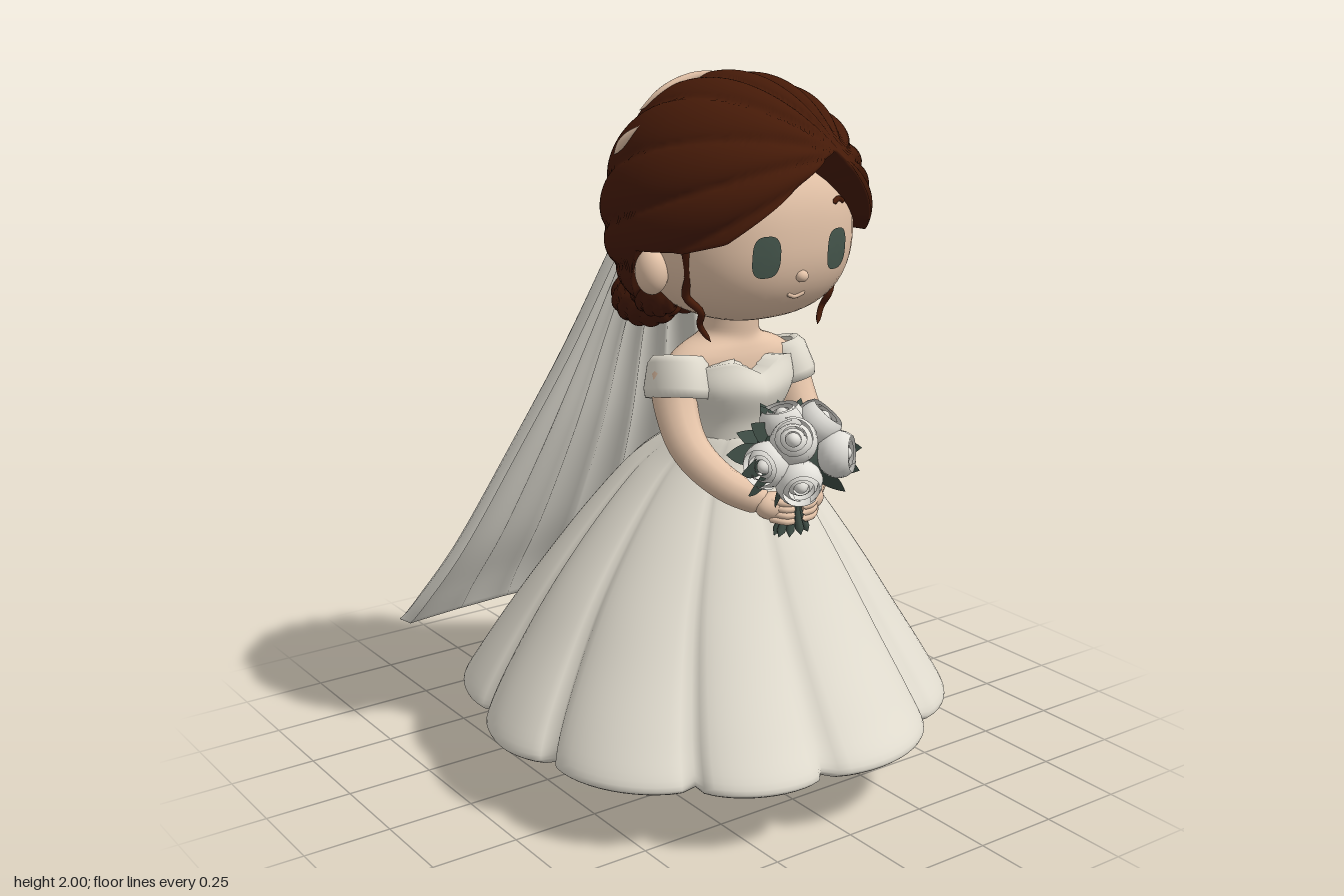
import * as THREE from 'three';

const mat = (name, color, side = THREE.FrontSide) => {
  const m = new THREE.MeshStandardMaterial({ color, side });
  m.name = name;
  return m;
};

// Catmull-Rom sampling of a list of equal-length rows, t in 0..1
function sample(rows, t) {
  const n = rows.length - 1, f = Math.min(t * n, n - 1e-6), i = Math.floor(f), s = f - i;
  const at = k => rows[Math.max(0, Math.min(n, k))];
  const [a, b, c, d] = [at(i - 1), at(i), at(i + 1), at(i + 2)];
  return b.map((q, k) => q + 0.5 * s * (c[k] - a[k] + s * (2 * a[k] - 5 * q + 4 * c[k] - d[k] + s * (3 * (q - c[k]) + d[k] - a[k]))));
}

// Surface from closed loops: nu points round, nv steps down
function rings(nu, nv, fn) {
  const pos = [], idx = [];
  for (let j = 0; j <= nv; j++) for (let i = 0; i < nu; i++) pos.push(...fn(i, j / nv, j));
  for (let j = 0; j < nv; j++) for (let i = 0; i < nu; i++) {
    const k = (i + 1) % nu, a = j * nu + i, b = j * nu + k, c = a + nu, d = b + nu;
    idx.push(a, c, b, b, c, d);
  }
  const g = new THREE.BufferGeometry();
  g.setAttribute('position', new THREE.Float32BufferAttribute(pos, 3));
  g.setIndex(idx);
  g.computeVertexNormals();
  return g;
}

// Elliptical loft, rows [y, rx, rz, cz], closed at both ends
function loft(rows, x0 = 0, yOff = () => 0) {
  return rings(40, 26, (i, v, j) => {
    const a = i / 40 * Math.PI * 2, t = Math.max(0, Math.min(1, (j - 1) / 24));
    const [y, rx, rz, cz] = sample(rows, t), f = j === 0 || j === 26 ? 0.02 : 1;
    return [x0 + rx * Math.sin(a) * f, y + yOff(a, t), cz + rz * Math.cos(a) * f];
  });
}

// Tube whose radius follows a rule
function taper(points, radius, seg = 24) {
  const curve = new THREE.CatmullRomCurve3(points.map(p => new THREE.Vector3(...p)));
  const g = new THREE.TubeGeometry(curve, seg, 1, 10), p = g.attributes.position, q = new THREE.Vector3();
  for (let i = 0; i < p.count; i++) {
    const t = Math.floor(i / 11) / seg, c = curve.getPointAt(t);
    q.fromBufferAttribute(p, i).sub(c).multiplyScalar(radius(t)).add(c);
    p.setXYZ(i, q.x, q.y, q.z);
  }
  return g;
}
const round = (r0, r1) => t => (r0 + (r1 - r0) * t) * Math.min(1, Math.sqrt(Math.max(0.001, Math.min(t, 1 - t) * 14)));

// Ball with spiral strands
function strandBall(n, twist) {
  const g = new THREE.SphereGeometry(1, 64, 32), p = g.attributes.position;
  for (let i = 0; i < p.count; i++) {
    const x = p.getX(i), y = p.getY(i), z = p.getZ(i);
    const f = 1 - 0.13 * (1 - Math.abs(Math.sin((Math.atan2(y, x) + z * twist) * n / 2)) ** 0.6) * Math.hypot(x, y);
    p.setXYZ(i, x * f, y * f, z * f);
  }
  g.computeVertexNormals();
  return g;
}

export function createModel() {
  const root = new THREE.Group();
  const skin = mat('skin', 0xe4c3a8), hair = mat('hair brown', 0x451a08), dress = mat('ivory dress', 0xe2ddd0);
  const veilMat = mat('veil', 0xdad7cd), roseMat = mat('rose white', 0xe2e0da, THREE.DoubleSide);
  const leafMat = mat('leaf green', 0x3e4d45, THREE.DoubleSide), eyeMat = mat('eye green', 0x46574d);
  const add = (name, geo, m, pos = [0, 0, 0], scale = [1, 1, 1], parent = root) => {
    const o = new THREE.Mesh(geo, m);
    o.name = name; o.position.set(...pos); o.scale.set(...scale);
    parent.add(o);
    return o;
  };
  const ball = new THREE.SphereGeometry(1, 28, 20);
  const sides = [['left', 1], ['right', -1]];

  // Skirt: ten rounded panels between notches
  const notch = [-7, 34, 73, 108, 142, 177, 216, 252, 283, 321, 353];
  const skirtRows = [[1.03, .115, .32, .09], [1.01, .14, .33, .03], [.95, .19, .345, -.07], [.88, .25, .38, -.15], [.75, .355, .45, -.25],
    [.6, .465, .53, -.35], [.45, .56, .62, -.45], [.3, .65, .72, -.54], [.205, .695, .785, -.59], [.178, .68, .77, -.58]];
  const skirtPoint = (k, v, inset = 1) => {
    const i = Math.floor(k / 14), s = (k % 14) / 14;
    const a = THREE.MathUtils.degToRad(notch[i] + (notch[i + 1] - notch[i]) * s);
    const [y, rx, zf, zb] = sample(skirtRows, v);
    const f = inset * (1 - (0.02 + 0.09 * v) * (1 - Math.sin(Math.PI * s) ** 0.45));
    const sn = Math.sin(a), c = Math.cos(a);
    const wide = c < 0 ? Math.sign(sn) * Math.abs(sn) ** (1 - 0.3 * v) : sn;
    return [rx * wide * f, y + 0.07 * Math.max(0, -c) * v ** 3 * inset + 0.07 * (1 - inset * inset), (zf + zb) / 2 + (zf - zb) / 2 * c * f];
  };
  add('skirt', rings(140, 44, (k, v) => skirtPoint(k, v)), dress);
  add('skirt underside', rings(140, 12, (k, v) => skirtPoint(k, 1, 1 - 0.999 * v)), skin);

  // Veil: pleated sheet, rows [y, half width, middle z, forward sweep of the sides]
  const veilRows = [[1.615, .06, -.15, .02], [1.59, .1, -.185, .04], [1.48, .165, -.22, .07], [1.2, .285, -.325, .11], [.9, .42, -.425, .12],
    [.6, .55, -.555, .15], [.4, .63, -.67, .16], [.29, .66, -.725, .14]];
  const N = 84;
  add('veil', rings(N * 2, 44, (i, v, j) => {
    const inner = i < N, u = inner ? i / (N - 1) * 2 - 1 : 1 - (i - N) / (N - 1) * 2;
    const [y, w, zc, d] = sample(veilRows, v);
    const fold = Math.abs(Math.cos(u * Math.PI * 3.5 + 0.5 * Math.sin(u * Math.PI))) ** 0.6;
    const thick = j === 0 || j === 44 ? 0.006 : 0.03 + 0.03 * v;
    return [w * u, y - 0.03 * v ** 6 * fold + 0.05 * u * u * v ** 4, zc + d * u * u - (0.01 + 0.045 * v) * fold + (inner ? thick : 0)];
  }), veilMat);

  // Upper body
  add('neck and chest', loft([[1.4, .075, .08, .2], [1.33, .076, .08, .195], [1.29, .09, .083, .19], [1.262, .155, .092, .19], [1.23, .195, .1, .19], [1.17, .2, .1, .195], [1.1, .13, .1, .2]]), skin);
  const neckline = (a, t) => (1 - t) ** 3 * (0.045 * Math.max(0, Math.cos(a)) * Math.min(1, Math.abs(a > Math.PI ? a - 2 * Math.PI : a) * 2) - 0.01);
  add('bodice', loft([[1.21, .175, .125, .21], [1.15, .168, .14, .22], [1.06, .132, .125, .205], [.97, .125, .12, .2]], 0, neckline), dress);
  const band = [[.055, .055], [.073, .06], [.088, .04], [.096, -.03], [.09, -.055], [.078, -.05], [.055, .055]].map(p => new THREE.Vector2(...p)).reverse();
  for (const [side, s] of sides) {
    add(side + ' sleeve', new THREE.LatheGeometry(band, 32), dress, [s * .175, 1.182, .19], [.86, 1, 1.15]).rotation.set(-.22, 0, s * .2);
    add(side + ' arm', taper([[s * .185, 1.24, .18], [s * .2, 1.12, .215], [s * .2, 1.01, .285], [s * .15, .925, .385], [s * .06, .875, .46]], round(.066, .04)), skin);
    add(side + ' hand', ball, skin, [s * .06, .872, .465], [.05, .038, .038]);
    for (let k = 0; k < 4; k++) {
      const y = .895 - k * .017;
      add(side + ' finger', taper([[s * .08, y, .475], [s * .045, y - .01, .505], [s * .012, y - .014, .505]], round(.012, .009), 10), skin);
    }
    add(side + ' leg', loft([[.29, .042, .05, .18], [.11, .04, .046, .178], [.07, .045, .062, .193], [.03, .047, .076, .207], [0, .045, .077, .208]], s * .064), skin);
  }

  // Head: softly squared ellipsoid
  const R = [.285, .25, .265], H = [0, 1.595, .247], P = 2.45;
  const headGeo = new THREE.SphereGeometry(1, 48, 36), hp = headGeo.attributes.position;
  for (let i = 0; i < hp.count; i++) {
    const d = [hp.getX(i), hp.getY(i), hp.getZ(i)];
    const f = d.reduce((s, q, k) => s + Math.abs(q / R[k]) ** P, 0) ** (-1 / P);
    hp.setXYZ(i, d[0] * f, d[1] * f, d[2] * f);
  }
  headGeo.computeVertexNormals();
  add('head', headGeo, skin, H);
  const faceZ = (x, y) => H[2] + R[2] * Math.max(0, 1 - Math.abs(x / R[0]) ** P - Math.abs((y - H[1]) / R[1]) ** P) ** (1 / P);
  const onFace = pts => pts.map(([x, y]) => [x, y, faceZ(x, y)]);
  for (const [side, s] of sides) {
    const eye = new THREE.CircleGeometry(1, 32), p = eye.attributes.position;
    for (let i = 0; i < p.count; i++) {
      const e = q => Math.sign(q) * Math.abs(q) ** 0.7;
      const x = s * .115 + e(p.getX(i)) * .038, y = 1.555 + e(p.getY(i)) * .055;
      p.setXYZ(i, x, y, faceZ(x, y) + .005);
    }
    eye.computeVertexNormals();
    add(side + ' eye', eye, eyeMat);
    add(side + ' eyebrow', taper(onFace([[s * .105, 1.675], [s * .13, 1.683], [s * .152, 1.672]]), round(.008, .007), 10), hair);
    add(side + ' ear', ball, skin, [s * .295, 1.5, .245], [.043, .062, .048]);
    add(side + ' curl', taper([[s * .27, 1.6, .36], [s * .25, 1.5, .35], [s * .245, 1.44, .33], [s * .215, 1.4, .355], [s * .205, 1.36, .335], [s * .18, 1.315, .35]], round(.016, .007)), hair);
  }
  add('nose', ball, skin, [0, 1.495, faceZ(0, 1.5)], [.018, .016, .016]);
  add('mouth', taper(onFace([[-.03, 1.447], [0, 1.437], [.03, 1.447]]), round(.006, .006), 10), skin);

  // Hair cap: hairline height by angle from the front, strands sweeping from parting to nape
  const line = [[-180, 1.4], [-112, 1.38], [-97, 1.43], [-83, 1.56], [-60, 1.565], [-42, 1.6], [-28, 1.67], [-12, 1.75], [4, 1.805], [12, 1.82],
    [22, 1.76], [32, 1.69], [43, 1.62], [60, 1.57], [83, 1.56], [97, 1.43], [112, 1.38], [180, 1.4]];
  const hairline = deg => {
    const k = Math.max(1, line.findIndex(l => l[0] >= deg)), [a, b] = [line[k - 1], line[k]];
    return b[1] + (a[1] - b[1]) * (b[0] - deg) / (b[0] - a[0]);
  };
  const C = [0, 1.63, .205], HR = [.36, .37, .362];
  add('hair', rings(200, 64, (i, v, j) => {
    const deg = i * 1.8 - 180, a = THREE.MathUtils.degToRad(deg);
    const t = Math.min(1, Math.max(.002, j / 60)), lip = j > 60 ? [.985, .94, .85, .7][j - 61] : 1;
    const phi = t * Math.acos((hairline(deg) - C[1]) / HR[1]);
    const x = HR[0] * Math.sin(phi) * Math.sin(a), y = HR[1] * Math.cos(phi);
    const z = HR[2] * Math.sin(phi) * Math.cos(a) * (1 + .14 * Math.max(0, Math.cos(a)) ** 1.5 * t);
    const w = (z + .36) / .72, dx = x - .09 * w, dy = y + .08 - .26 * w;
    const strand = Math.atan2(dx, dy);
    const ridge = Math.abs(Math.sin(strand * 8 + Math.sin(strand * 3) * .7)) ** 0.55;
    const f = lip * (1 - .05 * (1 - ridge) * Math.min(1, Math.hypot(dx, dy) / .12));
    return [C[0] + x * f, C[1] + y * f, C[2] + z * f];
  }), hair);
  const onHair = pts => pts.map(([x, z]) => [x, C[1] - .003 + HR[1] * Math.sqrt(1 - (x / HR[0]) ** 2 - ((z - C[2]) / HR[2]) ** 2), z]);
  add('scalp streak', taper(onHair([[-.195, .045], [-.15, .09], [-.07, .12], [0, .14]]), t => .001 + .015 * Math.sin(Math.PI * t)), skin);
  add('scalp streak', taper(onHair([[-.3, .08], [-.292, .12], [-.27, .16]]), t => .001 + .014 * Math.sin(Math.PI * t)), skin);

  // Low bun with side rolls
  const bunGeo = strandBall(8, 1.6);
  add('bun', bunGeo, hair, [0, 1.41, -.035], [.13, .11, .105]);
  for (const [side, s] of sides) {
    add(side + ' hair roll', bunGeo, hair, [s * .165, 1.385, .035], [.105, .088, .1]);
    add(side + ' nape hair', bunGeo, hair, [s * .2, 1.43, .13], [.075, .085, .08]);
  }

  // Bouquet
  const bouquet = new THREE.Group();
  bouquet.name = 'bouquet';
  root.add(bouquet);
  const up = new THREE.Vector3(0, 1, 0), centre = new THREE.Vector3(0, 1.01, .47);
  add('bouquet core', ball, leafMat, centre.toArray(), [.1, .09, .09], bouquet);
  const roses = [[-.055, .965, .575], [.078, 1.02, .57], [-.06, 1.07, .55], [.055, 1.095, .515], [-.12, 1.01, .52], [-.02, 1.1, .46]];
  roses.forEach((p, r) => {
    const rose = new THREE.Group();
    rose.name = 'rose';
    rose.position.set(...p);
    rose.quaternion.setFromUnitVectors(up, new THREE.Vector3(...p).sub(centre).normalize());
    bouquet.add(rose);
    add('rose heart', ball, roseMat, [0, .006, 0], [.022, .032, .022], rose);
    for (let L = 0; L < 3; L++) for (let k = 0; k < 3 + L; k++) {
      const n = 3 + L, petal = new THREE.SphereGeometry(.036 + L * .012, 8, 6, (k / n + L * .13 + r * .2) * Math.PI * 2, 7.4 / n, .6 + L * .14, 1.8);
      add('rose petal', petal, roseMat, [0, 0, 0], [1 + k * .03, 1, 1 + k * .03], rose);
    }
  });
  const leafShape = new THREE.Shape();
  leafShape.moveTo(0, 0).quadraticCurveTo(.06, .06, 0, .13).quadraticCurveTo(-.06, .06, 0, 0);
  const leafGeo = new THREE.ShapeGeometry(leafShape, 10);
  const tips = [[.205, 1.0, .52], [.19, .94, .53], [.12, .9, .555], [.195, 1.03, .44], [.13, 1.11, .46], [.07, 1.14, .42], [.09, .93, .4], [.03, 1.13, .37], [.11, 1.06, .37]];
  for (const [, s] of sides) for (const [x, y, z] of tips) {
    const tip = new THREE.Vector3(s * x, y, z), dir = tip.clone().sub(centre).normalize();
    const leaf = add('leaf', leafGeo, leafMat, tip.clone().addScaledVector(dir, -.13).toArray(), [1, 1, 1], bouquet);
    leaf.quaternion.setFromUnitVectors(up, dir);
  }
  for (let k = 0; k < 9; k++) {
    const a = k / 9 * Math.PI * 2, c = Math.cos(a), s = Math.sin(a);
    add('stem', taper([[c * .03, .95, .48 + s * .025], [c * .014, .865, .475 + s * .014], [c * .055, .785, .475 + s * .03]], round(.01, .012), 10), leafMat, [0, 0, 0], [1, 1, 1], bouquet);
  }
  return root;
}
